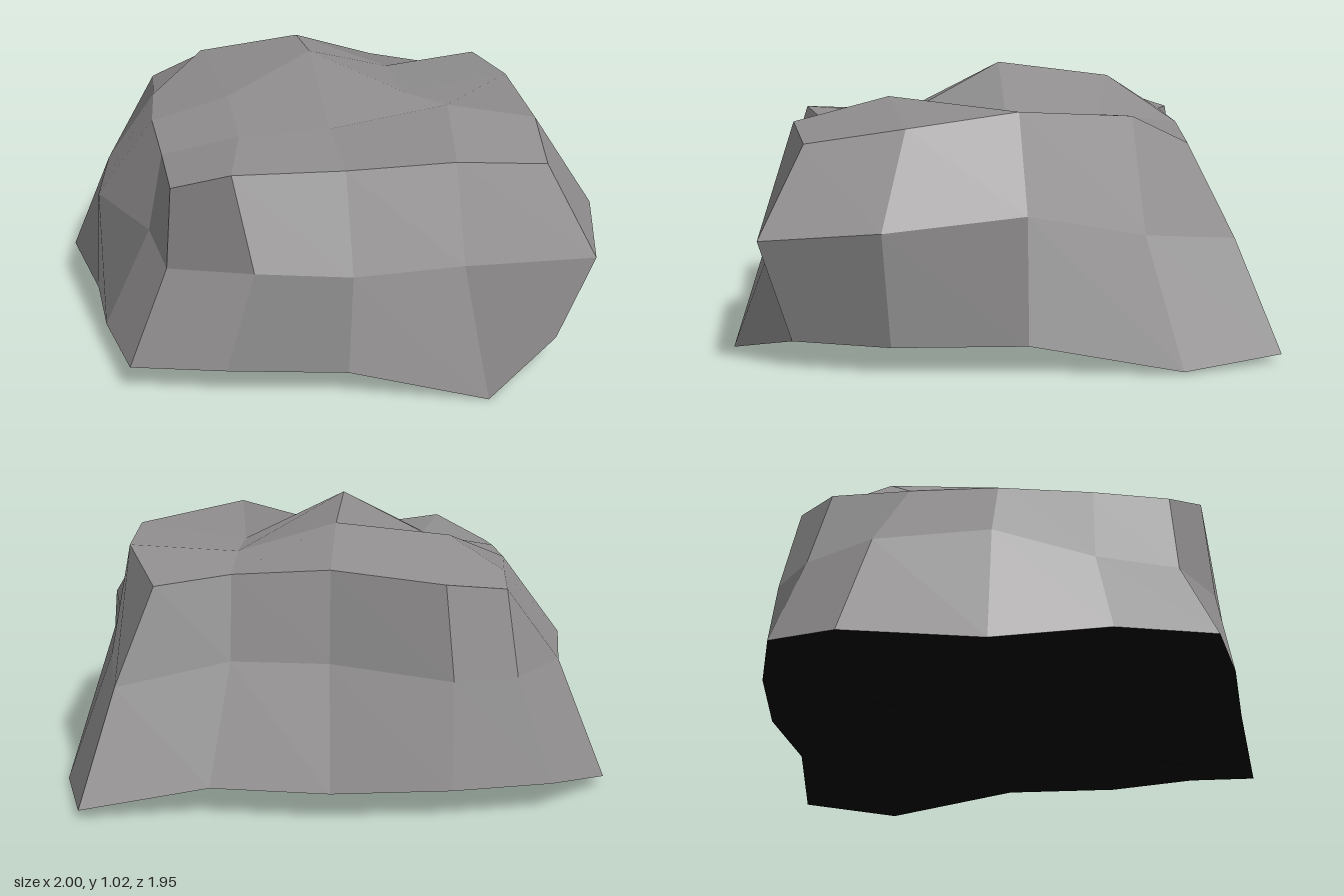
import * as THREE from 'three';

// Horizontal rings of the boulder: front left corner, along the front, right side, back, left side.
const baseRing = [
  [-0.79, 0.095, 0.71], [-0.45, 0.1, 0.8], [-0.02, 0.095, 0.87], [0.47, 0, 0.97],
  [0.79, 0.1, 0.74], [0.91, 0.1, 0.4], [0.935, 0.1, -0.07], [0.985, 0.01, -0.6],
  [0.86, 0.03, -0.98], [0.41, 0.1, -0.93], [-0.01, 0.1, -0.97], [-0.43, 0.1, -0.92],
  [-0.78, 0.1, -0.83], [-1, 0.035, -0.56], [-0.9, 0.045, -0.07], [-0.87, 0.09, 0.35],
];
const middleRing = [
  [-0.64, 0.425, 0.6], [-0.34, 0.455, 0.76], [0, 0.45, 0.83], [0.41, 0.45, 0.8],
  [0.88, 0.47, 0.845], [1, 0.51, 0.43], [0.88, 0.54, -0.07], [0.83, 0.46, -0.49],
  [0.75, 0.43, -0.83], [0.35, 0.51, -0.76], [0, 0.51, -0.78], [-0.43, 0.48, -0.89],
  [-0.66, 0.46, -0.74], [-0.83, 0.46, -0.48], [-0.875, 0.465, -0.06], [-0.69, 0.45, 0.3],
];
const topRing = [
  [-0.615, 0.725, 0.58], [-0.41, 0.815, 0.72], [0.01, 0.765, 0.61], [0.38, 0.825, 0.74],
  [0.73, 0.78, 0.69], [0.79, 0.835, 0.34], [0.785, 0.89, -0.05], [0.755, 0.87, -0.45],
  [0.63, 0.76, -0.68], [0.35, 0.81, -0.7], [0, 0.83, -0.71], [-0.4, 0.805, -0.83],
  [-0.62, 0.76, -0.67], [-0.63, 0.77, -0.38], [-0.65, 0.765, -0.05], [-0.63, 0.75, 0.3],
];
// Inner points of the crown, front row to back row.
const crown = [
  [[-0.34, 0.805, 0.3], [0, 0.82, 0.31], [0.43, 0.92, 0.39]],
  [[-0.35, 0.85, -0.05], [-0.02, 1.02, -0.06], [0.37, 0.83, -0.05]],
  [[-0.42, 0.92, -0.48], [-0.01, 0.965, -0.5], [0.36, 0.84, -0.4]],
];

const vec = (p) => new THREE.Vector3(...p);

// Four-sided facets, split from the second to the fourth corner, with one normal per facet.
function facets(quads) {
  const positions = [];
  const normals = [];
  for (const [a, b, c, d] of quads) {
    const normal = vec(c).sub(vec(a)).cross(vec(d).sub(vec(b))).normalize().toArray();
    for (const corner of [a, b, d, b, c, d]) {
      positions.push(...corner);
      normals.push(...normal);
    }
  }
  const geometry = new THREE.BufferGeometry();
  geometry.setAttribute('position', new THREE.Float32BufferAttribute(positions, 3));
  geometry.setAttribute('normal', new THREE.Float32BufferAttribute(normals, 3));
  return geometry;
}

function band(lower, upper) {
  return lower.map((p, i) => {
    const n = (i + 1) % lower.length;
    return [p, lower[n], upper[n], upper[i]];
  });
}

// 5 x 5 grid: the top ring around the inner crown points.
function topPoint(row, col) {
  if (row === 0) return topRing[col];
  if (row === 4) return topRing[12 - col];
  if (col === 4) return topRing[4 + row];
  if (col === 0) return topRing[16 - row];
  return crown[row - 1][col - 1];
}

// Underside, facing down: a fan from one back point, plus the jutting back corner.
function underside() {
  const fan = [9, 10, 11, 12, 13, 14, 15, 0, 1, 2, 3, 4, 5, 6, 7];
  const hub = 11;
  const points = [baseRing[7], baseRing[9], baseRing[8]];
  fan.forEach((p, k) => {
    const next = fan[(k + 1) % fan.length];
    if (p !== hub && next !== hub) points.push(baseRing[hub], baseRing[next], baseRing[p]);
  });
  const geometry = new THREE.BufferGeometry();
  geometry.setAttribute('position', new THREE.Float32BufferAttribute(points.flat(), 3));
  geometry.computeVertexNormals();
  return geometry;
}

export function createModel() {
  const stone = new THREE.MeshStandardMaterial({ color: 0x8f8d8e });
  stone.name = 'grey stone';
  const dark = new THREE.MeshStandardMaterial({ color: 0x050505 });
  dark.name = 'black underside';

  const model = new THREE.Group();
  model.name = 'boulder';
  const add = (name, geometry, material) => {
    const mesh = new THREE.Mesh(geometry, material);
    mesh.name = name;
    model.add(mesh);
  };

  // Sloping sides
  add('lowerSides', facets(band(baseRing, middleRing)), stone);
  add('upperSides', facets(band(middleRing, topRing)), stone);

  // Crown
  const top = [];
  for (let r = 0; r < 4; r++) {
    for (let c = 0; c < 4; c++) {
      top.push([topPoint(r, c + 1), topPoint(r + 1, c + 1), topPoint(r + 1, c), topPoint(r, c)]);
    }
  }
  add('crown', facets(top), stone);

  add('underside', underside(), dark);
  return model;
}
